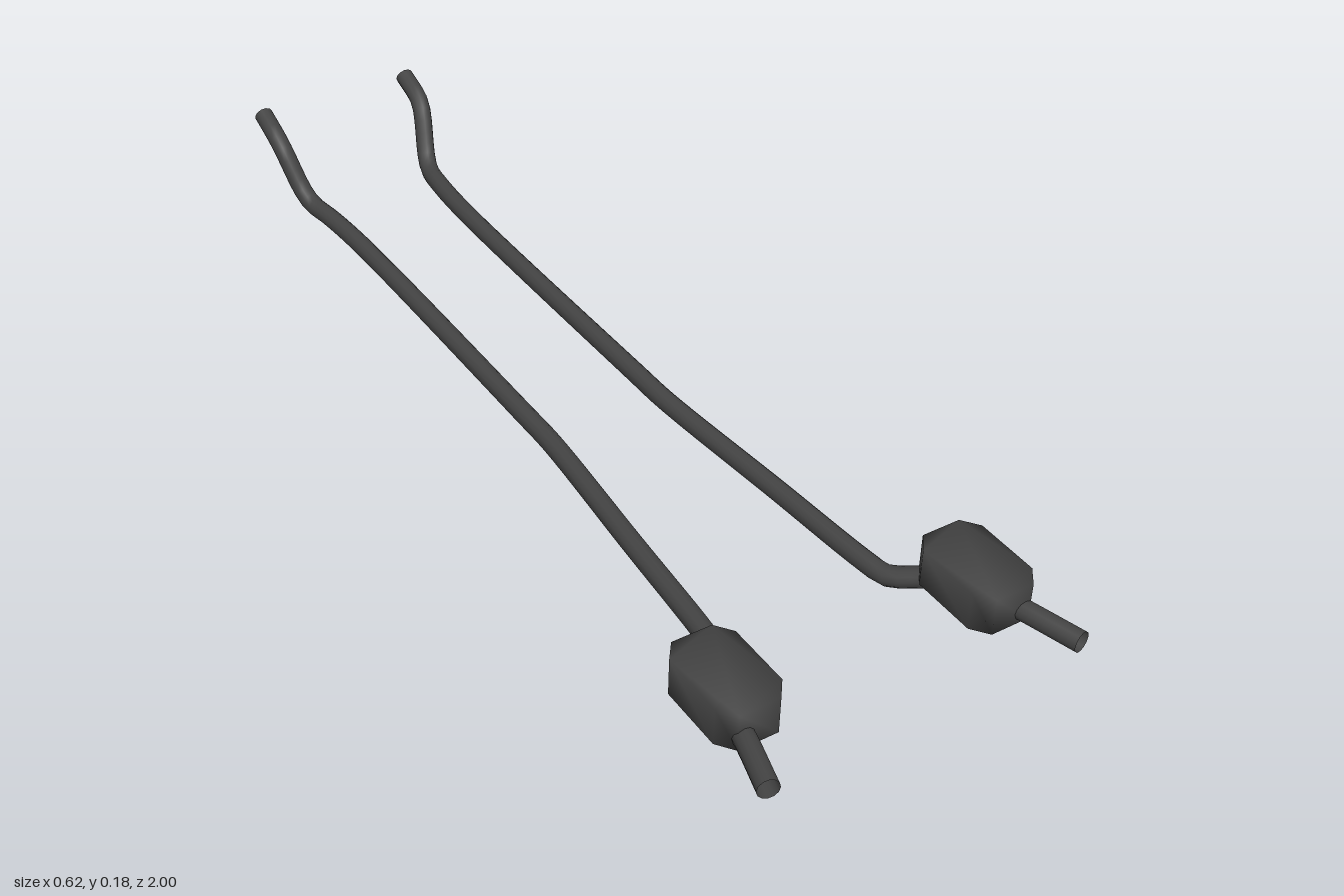
import * as THREE from 'three';
import { mergeVertices } from 'three/addons/utils/BufferGeometryUtils.js';

const material = new THREE.MeshStandardMaterial({ color: 0x444444, side: THREE.DoubleSide });

// Bent pipe, from the outlet at +z to the raised end at -z
function pipeGeometry(side) {
  const points = [
    [0.291, 0.066, 0.995], [0.262, 0.066, 0.89], [0.242, 0.059, 0.8], [0.205, 0.04, 0.735],
    [0.167, 0.0195, 0.68], [0.16, 0.0185, 0.64], [0.142, 0.0185, 0.4], [0.119, 0.0185, 0.1],
    [0.118, 0.0185, 0], [0.118, 0.0185, -0.65], [0.126, 0.0185, -0.78], [0.134, 0.0195, -0.835],
    [0.141, 0.036, -0.862], [0.159, 0.119, -0.91], [0.162, 0.138, -0.93], [0.162, 0.163, -0.992],
  ].map(([x, y, z]) => new THREE.Vector3(side * x, y, z));
  return new THREE.TubeGeometry(new THREE.CatmullRomCurve3(points), 90, 0.0185, 12, false);
}

// Chamfered box with a softly shaded skin
function mufflerGeometry() {
  const w = 0.0595, d = 0.09, cx = 0.023, cz = 0.03;
  const outline = [
    [w, cz - d], [w, d - cz], [w - cx, d], [cx - w, d],
    [-w, d - cz], [-w, cz - d], [cx - w, -d], [w - cx, -d],
  ].map(([x, y]) => new THREE.Vector2(x, y));
  const prism = new THREE.ExtrudeGeometry(new THREE.Shape(outline), { depth: 0.07, bevelEnabled: false });
  prism.rotateX(-Math.PI / 2);
  prism.deleteAttribute('normal');
  prism.deleteAttribute('uv');
  const smooth = mergeVertices(prism);
  smooth.computeVertexNormals();
  return smooth;
}

export function createModel() {
  const model = new THREE.Group();
  model.name = 'exhaustPipes';
  for (const [side, label] of [[1, 'left'], [-1, 'right']]) {
    const exhaust = new THREE.Group();
    exhaust.name = label + 'Exhaust';
    const pipe = new THREE.Mesh(pipeGeometry(side), material);
    pipe.name = label + 'Pipe';
    const muffler = new THREE.Mesh(mufflerGeometry(), material);
    muffler.name = label + 'Muffler';
    muffler.position.set(side * 0.2375, 0.045, 0.805);
    exhaust.add(pipe, muffler);
    model.add(exhaust);
  }
  return model;
}
